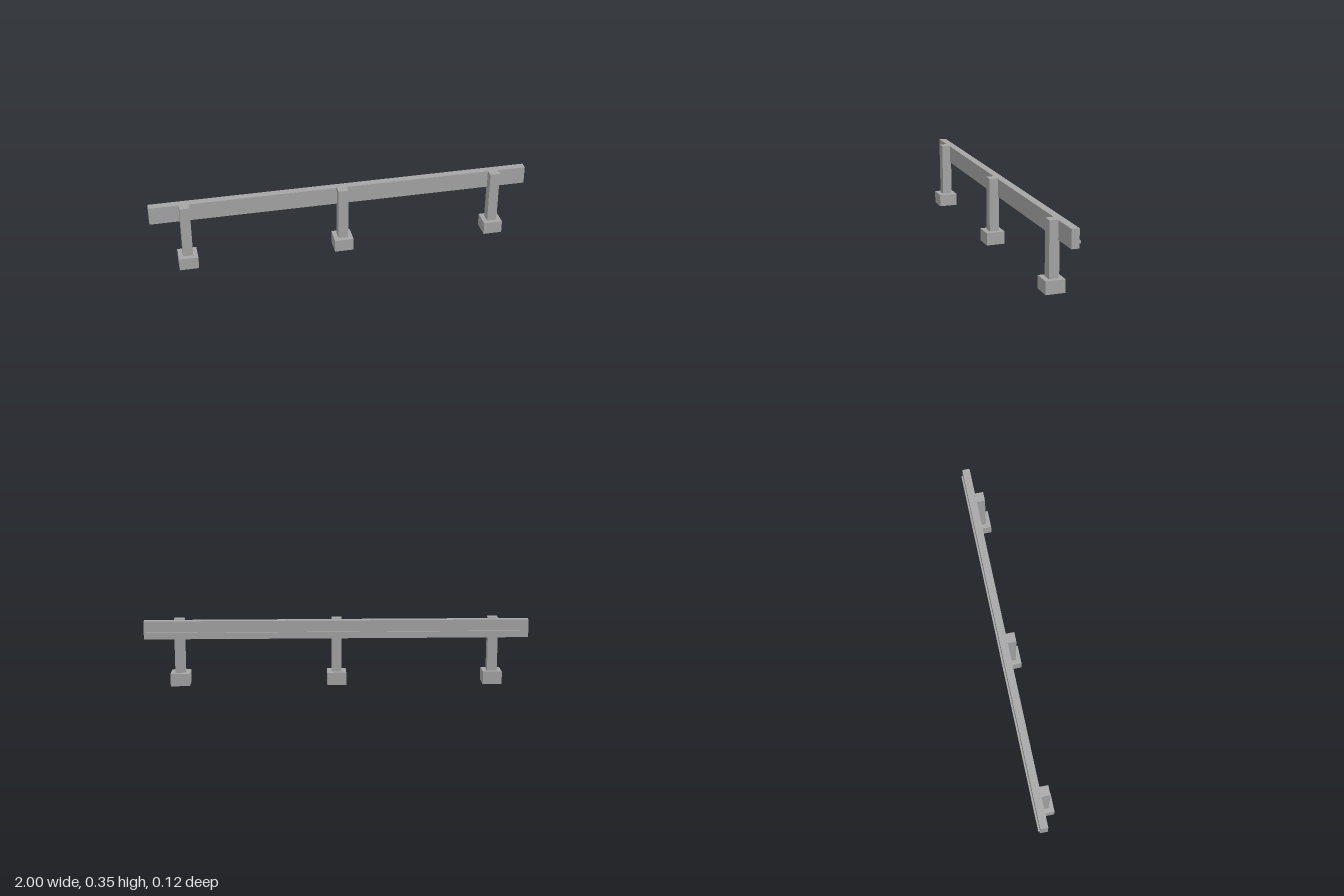
import * as THREE from 'three';

export function createModel() {
  const model = new THREE.Group();
  model.name = 'guardRail';
  const grey = new THREE.MeshStandardMaterial({ color: 0xa6a6a6 });
  grey.name = 'concreteGrey';

  // Box given by its extents along each axis
  function box(name, parent, [x0, x1], [y0, y1], [z0, z1]) {
    const mesh = new THREE.Mesh(new THREE.BoxGeometry(x1 - x0, y1 - y0, z1 - z0), grey);
    mesh.position.set((x0 + x1) / 2, (y0 + y1) / 2, (z0 + z1) / 2);
    mesh.name = name;
    parent.add(mesh);
  }

  // Three posts on square footings
  for (const x of [-0.82, 0, 0.82]) {
    const support = new THREE.Group();
    support.name = 'support';
    support.position.x = x;
    box('footing', support, [-0.05, 0.05], [0, 0.067], [-0.041, 0.059]);
    box('post', support, [-0.026, 0.026], [0.067, 0.352], [-0.018, 0.034]);
    model.add(support);
  }

  // Long beam, notched over the posts, with a thin strip along its back
  box('beam', model, [-1, 1], [0.254, 0.349], [-0.05, -0.0105]);
  box('backStrip', model, [-0.995, 0.995], [0.275, 0.29], [-0.058, -0.05]);

  return model;
}
